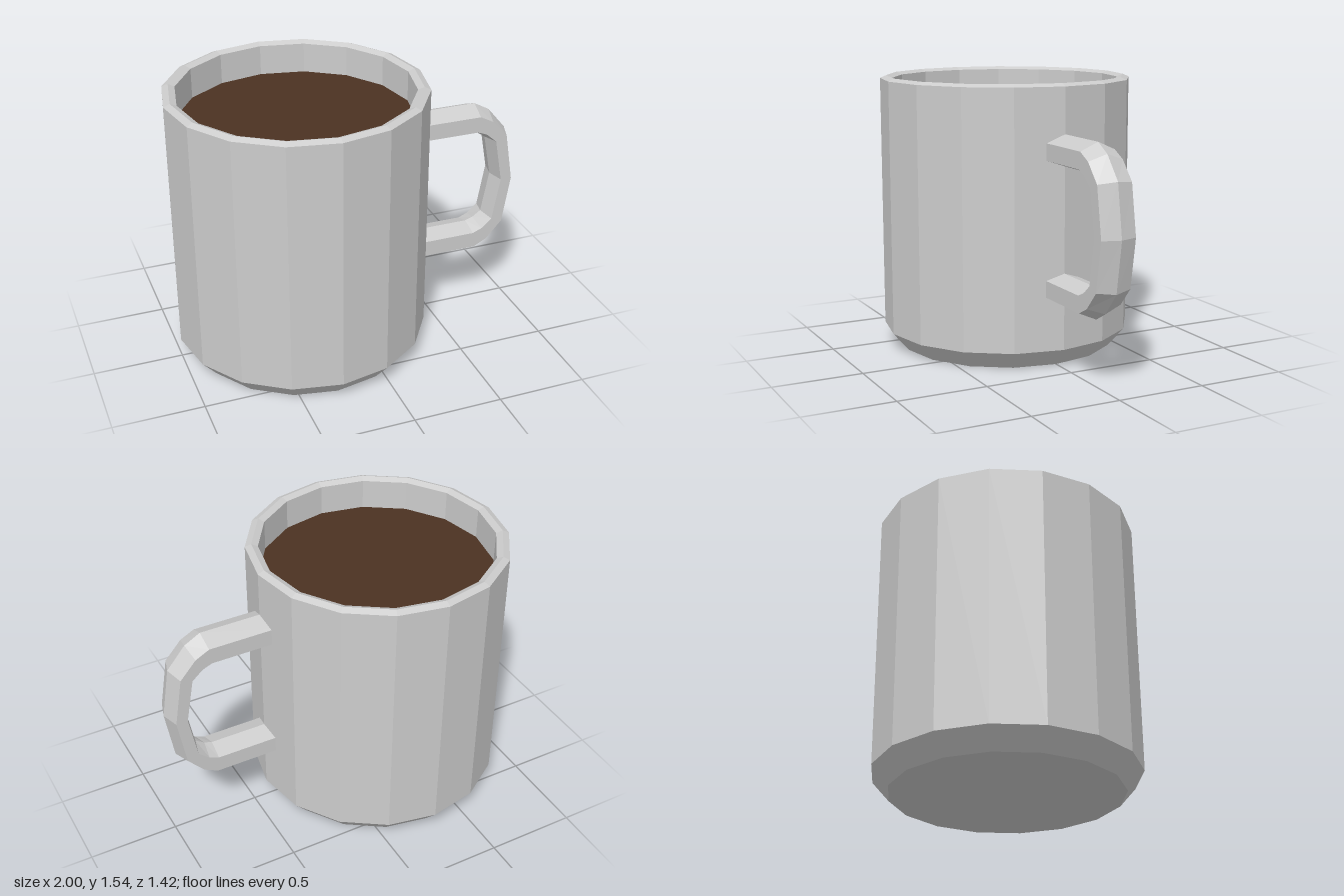
import * as THREE from 'three';

const SIDES = 16;
const CUP_X = -0.29;

// Give every face its own flat normal
function faceted(geometry) {
  const flat = geometry.index ? geometry.toNonIndexed() : geometry;
  flat.computeVertexNormals();
  return flat;
}

// Skin a run of equal closed rings of [x, y, z] points
function loft(rings) {
  const n = rings[0].length;
  const index = [];
  for (let i = 0; i < rings.length - 1; i++) {
    for (let j = 0; j < n; j++) {
      const a = i * n + j;
      const b = i * n + (j + 1) % n;
      index.push(a, b, b + n, a, b + n, a + n);
    }
  }
  const geometry = new THREE.BufferGeometry();
  geometry.setAttribute('position', new THREE.Float32BufferAttribute(rings.flat(2), 3));
  geometry.setIndex(index);
  return faceted(geometry);
}

export function createModel() {
  const ceramic = new THREE.MeshStandardMaterial({ name: 'grey ceramic', color: 0xcccccc, flatShading: true });
  const coffee = new THREE.MeshStandardMaterial({ name: 'coffee brown', color: 0x4b3222, flatShading: true });

  const mug = new THREE.Group();
  mug.name = 'mug';
  const add = (name, geometry, material) => {
    const mesh = new THREE.Mesh(geometry, material);
    mesh.name = name;
    mug.add(mesh);
    return mesh;
  };

  // Cup: bevelled foot, straight wall, peaked rim and hollow inside
  const profile = [
    [0, 0], [0.62, 0], [0.71, 0.105], [0.71, 1.53], [0.675, 1.545],
    [0.64, 1.53], [0.64, 0.12], [0, 0.12],
  ].map(([r, y]) => new THREE.Vector2(r, y));
  add('cup', faceted(new THREE.LatheGeometry(profile, SIDES)), ceramic).position.x = CUP_X;

  // Coffee surface, its corners lined up with the cup
  const surface = new THREE.CircleGeometry(0.642, SIDES).rotateX(-Math.PI / 2);
  add('coffee', surface, coffee).position.set(CUP_X, 1.36, 0);

  // Handle: outer and inner ridge points of the upper half, mirrored below
  const midY = 0.82;
  const upper = [
    [0.38, 1.28, 0.38, 1.11],
    [0.76, 1.28, 0.74, 1.11],
    [0.85, 1.23, 0.785, 1.095],
    [0.955, 1.105, 0.835, 1.06],
  ];
  const lower = upper.map(([ox, oy, ix, iy]) => [ox, 2 * midY - oy, ix, 2 * midY - iy]).reverse();
  const stations = [...upper, [1, midY, 0.88, midY], ...lower];

  // Six-sided section: share of the way from outer to inner ridge, and z
  const section = [[0, 0], [0.26, 0.1], [0.8, 0.1], [1, 0], [0.8, -0.1], [0.26, -0.1]];
  const rings = stations.map(([ox, oy, ix, iy]) =>
    section.map(([t, z]) => [ox + (ix - ox) * t, oy + (iy - oy) * t, z]));
  add('handle', loft(rings), ceramic);

  return mug;
}
